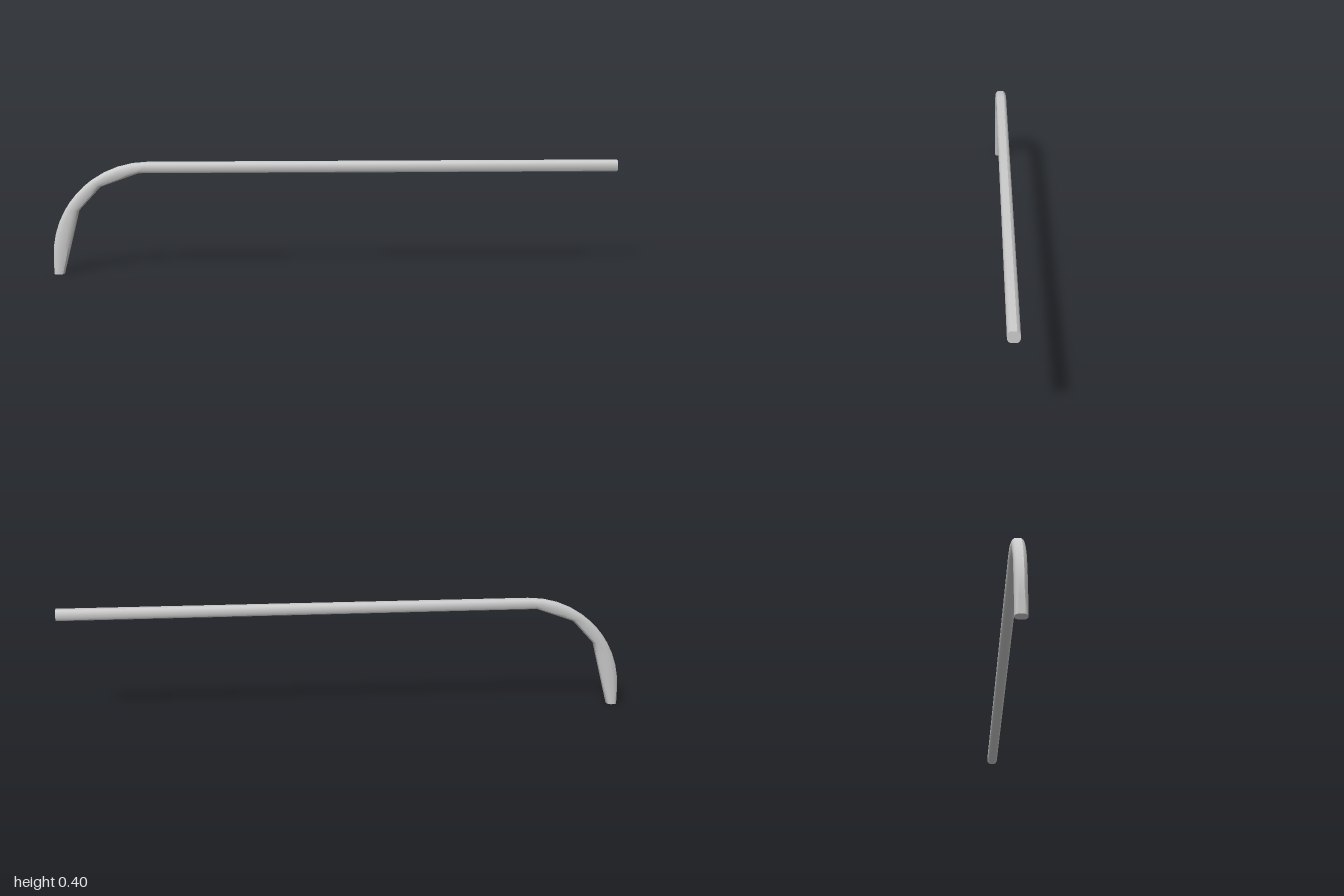
import * as THREE from 'three';
import { toCreasedNormals } from 'three/addons/utils/BufferGeometryUtils.js';

// Half section: [half width z, height fraction from inner edge to outer edge]
const HALF = [[0.009, 0], [0.016, 0.1], [0.02, 0.32], [0.02, 0.68], [0.016, 0.88], [0.009, 1]];
const SECTION = [...HALF, ...HALF.map(([z, v]) => [-z, v]).reverse()];

// Lofts the section along stations, each an outer and an inner point in the xy plane
function loft(stations) {
  const n = SECTION.length, pos = [], index = [];
  for (const [outer, inner] of stations) {
    for (const [z, v] of SECTION) {
      const p = inner.clone().lerp(outer, v);
      pos.push(p.x, p.y, z);
    }
  }
  for (let i = 0; i < stations.length - 1; i++) {
    for (let j = 0; j < n; j++) {
      const a = i * n + j, b = i * n + (j + 1) % n;
      index.push(a, b, a + n, b, b + n, a + n);
    }
  }
  const last = (stations.length - 1) * n;
  for (let j = 1; j < n - 1; j++) {
    index.push(0, j + 1, j, last, last + j, last + j + 1);
  }
  const geo = new THREE.BufferGeometry();
  geo.setAttribute('position', new THREE.Float32BufferAttribute(pos, 3));
  geo.setIndex(index);
  return toCreasedNormals(geo, 0.6);
}

export function createModel() {
  const group = new THREE.Group();
  group.name = 'hookedRod';
  const v = (x, y) => new THREE.Vector2(x, y);

  // Straight rod from the free end to the start of the bend
  const stations = [[v(1, 0.4), v(1, 0.36)], [v(-0.66, 0.4), v(-0.69, 0.362)]];

  // Bend: smooth round outside, faceted inside with a few straight runs
  const corners = [[0, v(-0.69, 0.362)], [36, v(-0.825, 0.314)], [60, v(-0.905, 0.228)], [90, v(-0.95, 0.057)]];
  for (let k = 0; k < 3; k++) {
    const [a0, p0] = corners[k], [a1, p1] = corners[k + 1];
    for (let s = 1; s <= 4; s++) {
      const t = s / 4, a = THREE.MathUtils.degToRad(a0 + (a1 - a0) * t);
      stations.push([v(-0.66 - 0.34 * Math.sin(a), 0.06 + 0.34 * Math.cos(a)), p0.clone().lerp(p1, t)]);
    }
  }

  // Tapered foot of the hook
  stations.push([v(-1, 0), v(-0.965, 0)]);

  const rod = new THREE.Mesh(loft(stations), new THREE.MeshStandardMaterial({ color: 0xcccccc }));
  rod.name = 'rodWithHook';
  group.add(rod);
  return group;
}
